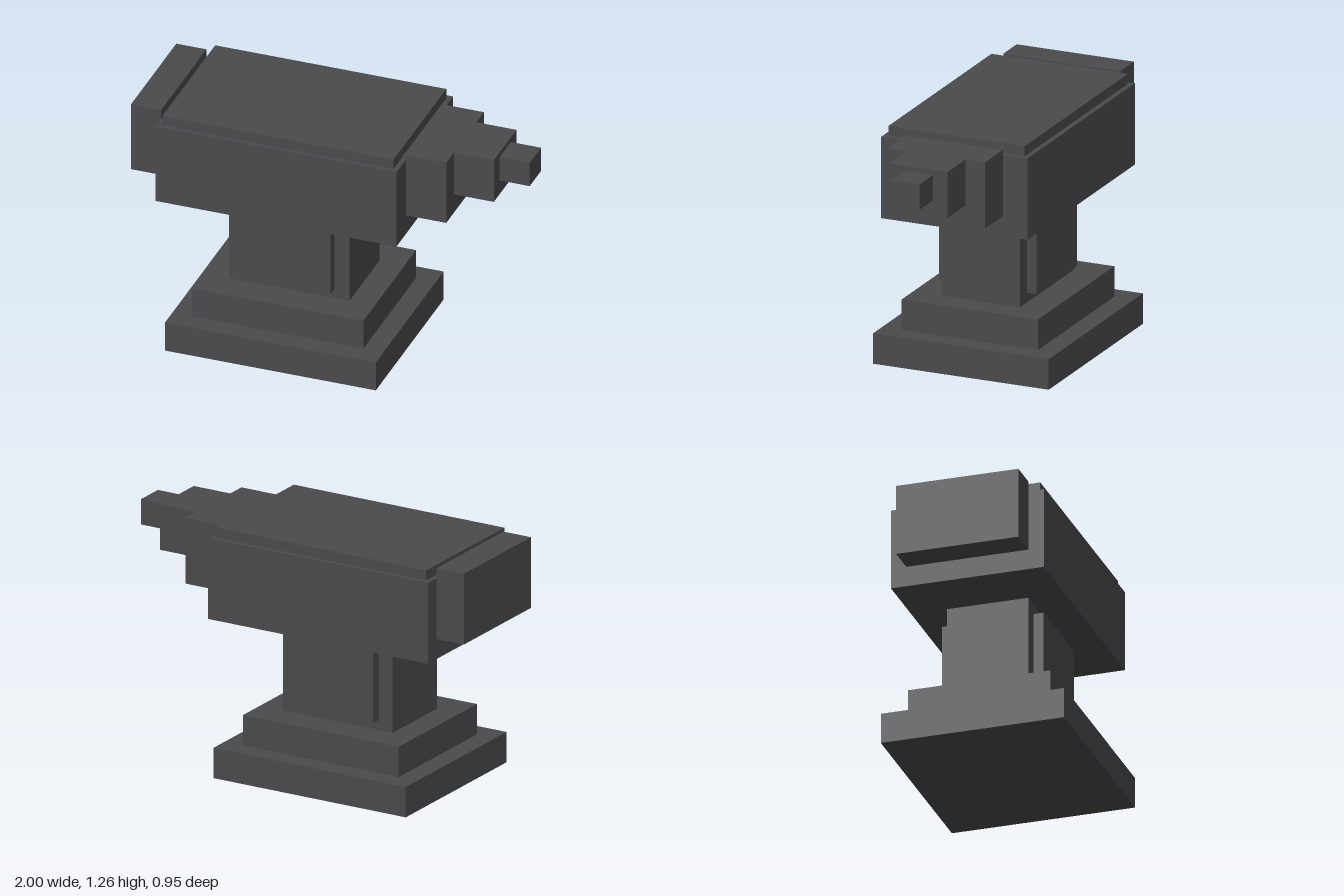
import * as THREE from 'three';

export function createModel() {
  const model = new THREE.Group();
  model.name = 'anvil';
  const iron = new THREE.MeshStandardMaterial({ color: 0x4a4a4e });
  iron.name = 'dark iron';

  // Box from its x and y extents and z extents
  const block = (name, x0, x1, y0, y1, z0, z1) => {
    const mesh = new THREE.Mesh(new THREE.BoxGeometry(x1 - x0, y1 - y0, z1 - z0), iron);
    mesh.position.set((x0 + x1) / 2, (y0 + y1) / 2, (z0 + z1) / 2);
    mesh.name = name;
    model.add(mesh);
  };
  // Block centred on z = 0
  const centred = (name, x0, x1, y0, y1, halfZ) => block(name, x0, x1, y0, y1, -halfZ, halfZ);

  // Stepped foot and waist
  centred('base', -0.763, 0.342, 0, 0.158, 0.474);
  centred('baseStep', -0.658, 0.237, 0.158, 0.316, 0.368);
  centred('waist', -0.526, 0.105, 0.316, 0.79, 0.21);

  // Raised panels on the front and back of the waist
  block('frontPanel', -0.447, 0.026, 0.368, 0.737, 0.21, 0.263);
  block('backPanel', -0.447, 0.026, 0.368, 0.737, -0.263, -0.21);

  // Body, striking face and heel
  centred('body', -0.842, 0.421, 0.79, 1.211, 0.395);
  centred('facePlate', -0.816, 0.395, 1.211, 1.263, 0.368);
  centred('heel', -1, -0.842, 0.895, 1.263, 0.316);

  // Horn narrowing in three steps
  centred('hornRoot', 0.421, 0.632, 0.895, 1.237, 0.263);
  centred('hornMiddle', 0.632, 0.842, 1, 1.237, 0.158);
  centred('hornTip', 0.842, 1, 1.079, 1.211, 0.079);

  return model;
}
